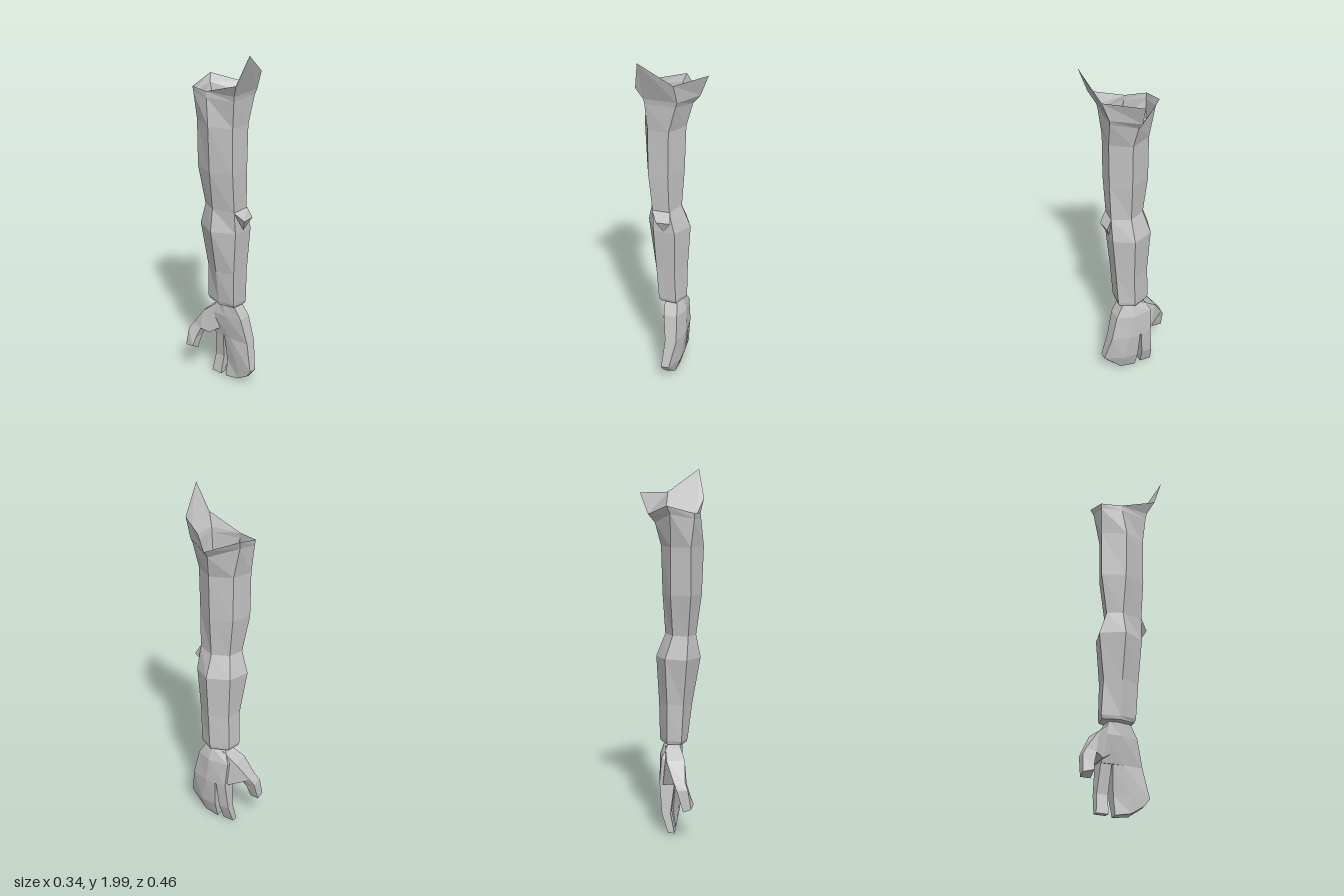
import * as THREE from 'three';
import { ConvexGeometry } from 'three/addons/geometries/ConvexGeometry.js';

const skin = new THREE.MeshStandardMaterial({ color: 0xc4c4c4, flatShading: true, side: THREE.DoubleSide });
skin.name = 'plain grey';

// Skins a list of cross-sections (top to bottom); sections may be open strips or closed rings.
function loft(rings, { closed = true, cap = false } = {}) {
  const pos = [];
  const tri = (a, b, c) => pos.push(...a, ...b, ...c);
  const n = rings[0].length;
  for (let r = 0; r < rings.length - 1; r++) {
    const top = rings[r], bottom = rings[r + 1];
    for (let i = 0; i < (closed ? n : n - 1); i++) {
      const j = (i + 1) % n;
      tri(top[i], bottom[i], bottom[j]);
      tri(top[i], bottom[j], top[j]);
    }
  }
  if (cap) {
    const end = rings[rings.length - 1];
    for (let i = 1; i < n - 1; i++) tri(end[0], end[i + 1], end[i]);
  }
  const geometry = new THREE.BufferGeometry();
  geometry.setAttribute('position', new THREE.Float32BufferAttribute(pos, 3));
  geometry.computeVertexNormals();
  return geometry;
}

// Six-sided ring of [x, z] corners at one height.
const ring = (y, ...corners) => corners.map(([x, z]) => [x, y, z]);

export function createModel() {
  const model = new THREE.Group();
  model.name = 'arm';
  const add = (name, geometry) => {
    const mesh = new THREE.Mesh(geometry, skin);
    mesh.name = name;
    model.add(mesh);
  };

  // Corners run: left, front left, front right, right, back right, back left
  const rim = [[-0.157, 1.77, -0.035], [-0.14, 1.77, 0.135], [0.04, 1.77, 0.145],
    [0.127, 1.76, 0], [0.018, 1.81, -0.147], [-0.13, 1.77, -0.147]];
  const shoulder = [[-0.16, 1.74, -0.03], [-0.135, 1.74, 0.13], [0.03, 1.74, 0.138],
    [0.09, 1.715, 0.005], [0, 1.765, -0.135], [-0.128, 1.74, -0.143]];
  const elbow = ring(1.11, [-0.135, -0.015], [-0.105, 0.11], [-0.01, 0.12], [0.035, 0.02], [-0.01, -0.07], [-0.095, -0.095]);
  const upperArm = [rim, shoulder,
    ring(1.59, [-0.175, -0.01], [-0.125, 0.115], [-0.01, 0.128], [0.058, 0.02], [0, -0.098], [-0.11, -0.136]),
    ring(1.33, [-0.165, -0.01], [-0.125, 0.115], [-0.015, 0.125], [0.05, 0.02], [0, -0.095], [-0.11, -0.133]),
    elbow];
  add('upperArm', loft(upperArm));

  const foreArm = [elbow,
    ring(0.985, [-0.16, -0.01], [-0.1, 0.115], [0.02, 0.125], [0.085, 0.02], [0.03, -0.1], [-0.09, -0.135]),
    ring(0.73, [-0.115, -0.01], [-0.09, 0.095], [0.015, 0.105], [0.07, 0.018], [0.02, -0.085], [-0.07, -0.1]),
    ring(0.53, [-0.09, -0.01], [-0.08, 0.085], [0.02, 0.095], [0.065, 0.012], [0.02, -0.09], [-0.06, -0.108]),
    ring(0.51, [-0.085, -0.01], [-0.07, 0.08], [0.02, 0.09], [0.06, 0.01], [0.02, -0.085], [-0.055, -0.1]),
    ring(0.503, [-0.06, -0.01], [-0.05, 0.068], [0.02, 0.068], [0.04, 0.01], [0.015, -0.06], [-0.05, -0.06])];
  add('foreArm', loft(foreArm));

  // Flared front of the open shoulder
  const [left, frontLeft, frontRight, right] = rim;
  add('shoulderFlare', loft([
    [left, [-0.17, 1.84, 0.17], [-0.14, 2, 0.232], [0.03, 1.875, 0.18], [0.17, 1.875, 0.005]],
    [left, frontLeft, frontLeft, frontRight, right]], { closed: false }));

  // Small wedge on the front of the elbow
  add('elbowWedge', new ConvexGeometry([
    [-0.108, 1.11, 0.11], [-0.005, 1.115, 0.12], [-0.075, 1.062, 0.157],
    [0.002, 1.06, 0.15], [-0.04, 0.99, 0.122], [-0.05, 1.05, 0.09],
  ].map(p => new THREE.Vector3(...p))));

  // Palm
  add('palm', loft([foreArm[foreArm.length - 1],
    ring(0.43, [-0.06, 0.01], [-0.045, 0.11], [0.03, 0.11], [0.065, 0.02], [0.05, -0.1], [-0.06, -0.09]),
    ring(0.28, [-0.035, 0.03], [-0.03, 0.145], [0.035, 0.145], [0.067, 0.04], [0.062, -0.09], [-0.025, -0.09]),
  ], { cap: true }));

  // Three joined outer fingers
  add('joinedFingers', loft([
    ring(0.28, [-0.035, 0.03], [-0.03, 0.145], [0.035, 0.145], [0.067, 0.04], [0.064, -0.023], [-0.025, -0.023]),
    ring(0.115, [-0.035, 0.08], [-0.045, 0.18], [0, 0.18], [0.047, 0.08], [0.05, -0.014], [-0.01, -0.014]),
    [[-0.03, 0.03, 0.08], [-0.04, 0.075, 0.15], [-0.02, 0.07, 0.15], [0.012, 0.02, 0.08], [0.017, 0.008, -0.01], [-0.025, 0.012, -0.01]],
  ], { cap: true }));

  // Index finger
  add('indexFinger', loft([
    ring(0.28, [-0.025, -0.03], [0.064, -0.03], [0.06, -0.09], [-0.02, -0.09]),
    ring(0.12, [-0.005, -0.042], [0.05, -0.042], [0.048, -0.104], [0, -0.104]),
    ring(0.012, [-0.025, -0.048], [0.012, -0.048], [0.012, -0.115], [-0.022, -0.115]),
  ], { cap: true }));

  // Thumb
  add('thumb', loft([
    [[-0.04, 0.33, -0.04], [0.05, 0.33, -0.04], [0.03, 0.495, -0.05], [-0.05, 0.495, -0.05]],
    [[-0.07, 0.29, -0.1], [0.04, 0.285, -0.1], [0.02, 0.43, -0.14], [-0.08, 0.43, -0.13]],
    [[-0.09, 0.31, -0.145], [-0.02, 0.3, -0.145], [-0.025, 0.32, -0.205], [-0.085, 0.33, -0.2]],
    [[-0.11, 0.25, -0.165], [-0.05, 0.25, -0.165], [-0.04, 0.285, -0.222], [-0.1, 0.29, -0.225]],
    [[-0.13, 0.2, -0.175], [-0.08, 0.168, -0.175], [-0.075, 0.17, -0.23], [-0.118, 0.185, -0.233]],
  ], { cap: true }));

  return model;
}
